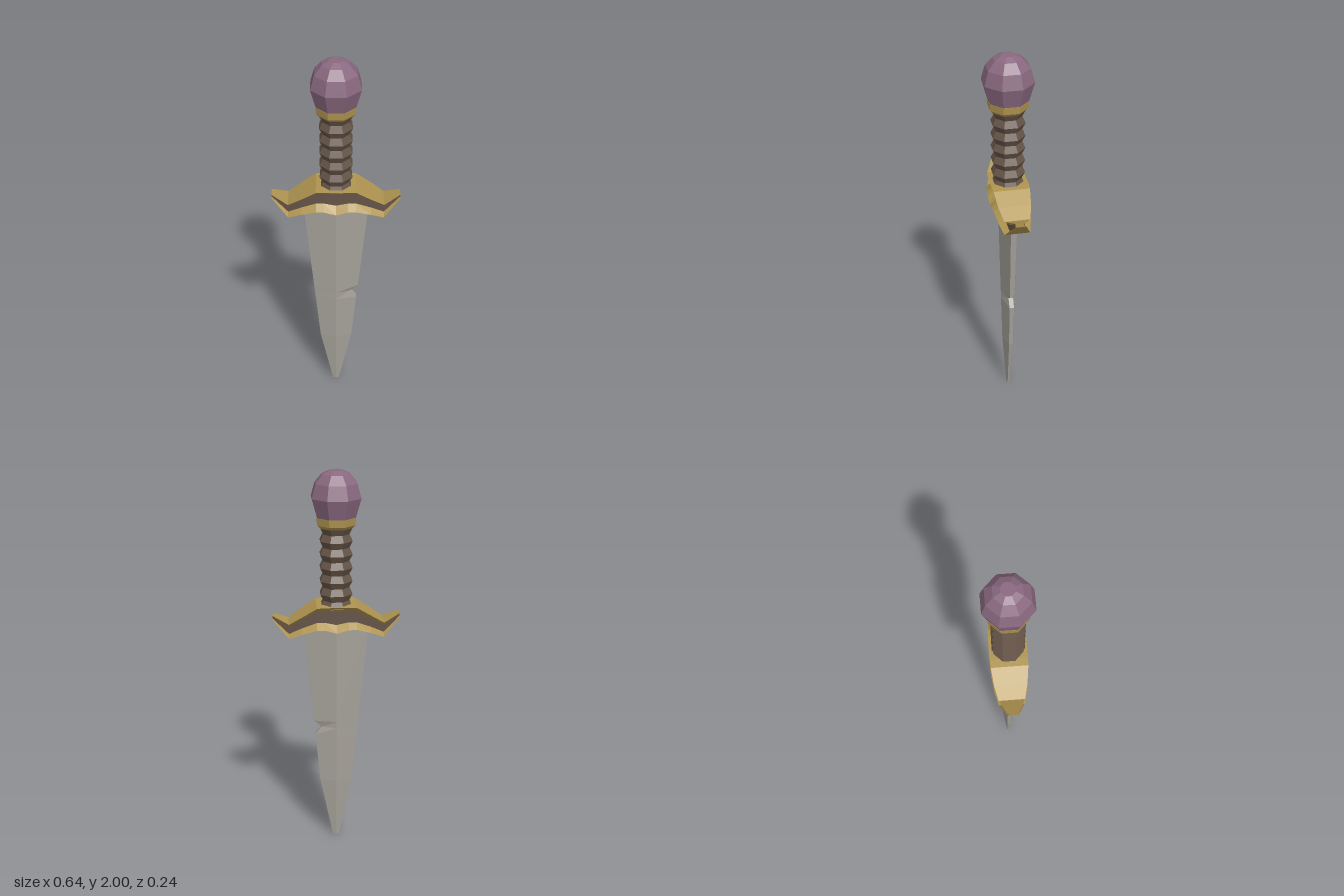
import * as THREE from 'three';

const material = (name, color) => {
  const m = new THREE.MeshStandardMaterial({ color });
  m.name = name;
  return m;
};

// Split all faces so that every facet gets its own flat normal.
function faceted(geometry) {
  const g = geometry.index ? geometry.toNonIndexed() : geometry;
  g.computeVertexNormals();
  return g;
}

// Skin a row of equal closed rings; keep(j) chooses which strips are built.
function loft(rings, keep = () => true, caps = true) {
  const pos = [];
  const tri = (a, b, c) => pos.push(...a, ...b, ...c);
  const n = rings[0].length;
  for (let i = 0; i < rings.length - 1; i++) {
    for (let j = 0; j < n; j++) {
      if (!keep(j)) continue;
      const k = (j + 1) % n, p = rings[i], q = rings[i + 1];
      tri(p[j], p[k], q[k]);
      tri(p[j], q[k], q[j]);
    }
  }
  if (caps) {
    const first = rings[0], last = rings[rings.length - 1];
    for (let j = 1; j < n - 1; j++) {
      tri(first[0], first[j + 1], first[j]);
      tri(last[0], last[j], last[j + 1]);
    }
  }
  const g = new THREE.BufferGeometry();
  g.setAttribute('position', new THREE.Float32BufferAttribute(pos, 3));
  return faceted(g);
}

// Eight-sided turned part; profile is [distance to flat side, height], bottom to top.
function octagonal(profile) {
  const points = profile.map(([r, y]) => new THREE.Vector2(r / Math.cos(Math.PI / 8), y));
  return faceted(new THREE.LatheGeometry(points, 8, Math.PI / 8));
}

export function createModel() {
  const steel = material('steel', 0xa5a199);
  const gold = material('gold', 0xaf9450);
  const leather = material('brown leather', 0x655447);
  const gem = material('purple gem', 0x89687f);

  const model = new THREE.Group();
  model.name = 'dagger';
  const add = (name, geometry, mat) => {
    const mesh = new THREE.Mesh(geometry, mat);
    mesh.name = name;
    model.add(mesh);
  };

  // Blade sections: height, left half width, right half width, ridge depth, edge depth
  const bladeRings = [
    [0, 0.017, 0.017, 0.009, 0.005],
    [0.34, 0.085, 0.085, 0.032, 0.01],
    [0.61, 0.109, 0.109, 0.038, 0.012],
    [0.655, 0.113, 0.077, 0.039, 0.012], // bottom of the chipped notch
    [0.69, 0.117, 0.117, 0.04, 0.012],
    [1.25, 0.168, 0.168, 0.052, 0.016],
  ].map(([y, l, r, z, e]) => [
    [-l, y, e], [0, y, z], [r, y, e], [r, y, -e], [0, y, -z], [-l, y, -e],
  ]);
  add('blade', loft(bladeRings), steel);

  // Crossguard stations: x, top height, bottom height, half depth
  const half = [
    [0, 1.335, 1.2, 0.093],
    [0.06, 1.335, 1.217, 0.093],
    [0.1, 1.332, 1.217, 0.091],
    [0.175, 1.285, 1.195, 0.081],
    [0.24, 1.243, 1.167, 0.064],
    [0.322, 1.28, 1.258, 0.027],
  ];
  const mirrored = half.slice(1).reverse().map(([x, ...rest]) => [-x, ...rest]);
  // Each section is an hourglass with a straight waist
  const guardRings = [...mirrored, ...half].map(([x, t, b, z]) => {
    const bevel = (t - b) * 0.25, waist = z * 0.6;
    return [
      [x, t, z], [x, t - bevel, waist], [x, b + bevel, waist], [x, b, z],
      [x, b, -z], [x, b + bevel, -waist], [x, t - bevel, -waist], [x, t, -z],
    ];
  });
  const isWaist = (j) => j === 1 || j === 5;
  add('guardFrame', loft(guardRings, (j) => !isWaist(j)), gold);
  add('guardInlay', loft(guardRings, isWaist, false), leather);

  // Ribbed grip
  const ribs = 6, bottom = 1.32, top = 1.725;
  const grip = [];
  for (let i = 0; i <= ribs * 2; i++) {
    grip.push([i % 2 ? 0.064 : 0.08, bottom + (top - bottom) * i / (ribs * 2)]);
  }
  add('grip', octagonal(grip), leather);

  // Collar under the pommel
  add('collar', octagonal([[0, 1.712], [0.07, 1.712], [0.092, 1.738], [0.096, 1.775], [0, 1.775]]), gold);

  // Faceted pommel
  add('pommel', octagonal([
    [0, 1.77], [0.093, 1.77], [0.12, 1.87], [0.101, 1.94], [0.066, 1.983], [0.033, 2], [0, 2],
  ]), gem);

  return model;
}
